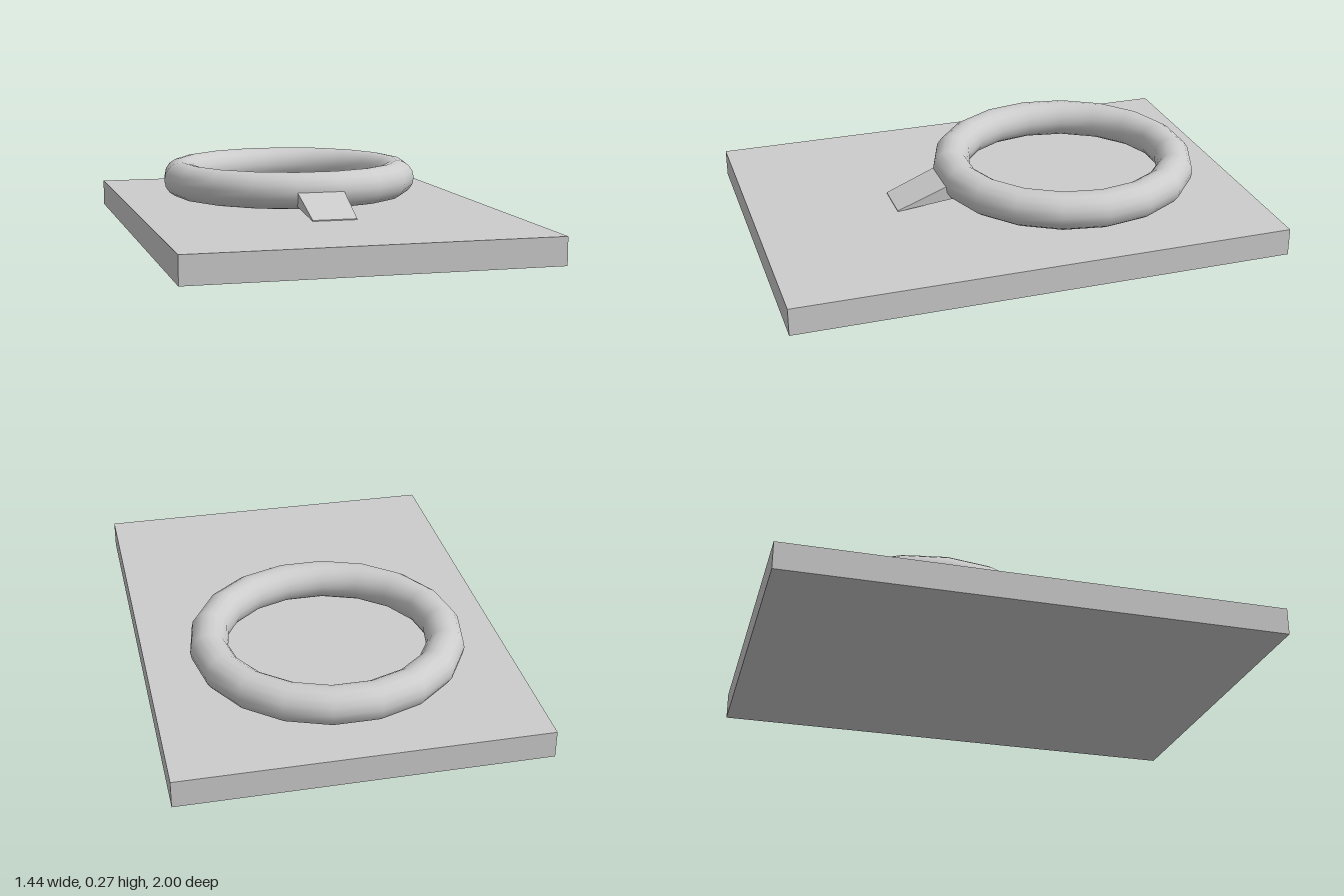
import * as THREE from 'three';

const lightGrey = new THREE.MeshStandardMaterial({ color: 0xcccccc });
lightGrey.name = 'light grey';

function addPart(group, name, geometry, x, y, z) {
  const mesh = new THREE.Mesh(geometry, lightGrey);
  mesh.name = name;
  mesh.position.set(x, y, z);
  group.add(mesh);
}

// Wedge rising from a thin front edge to a taller, slightly wider back
function wedgeGeometry() {
  const geometry = new THREE.BoxGeometry(2, 2, 2);
  const pos = geometry.attributes.position;
  for (let i = 0; i < pos.count; i++) {
    const side = pos.getX(i), top = pos.getY(i) > 0, back = pos.getZ(i) < 0;
    const halfWidth = back ? (top ? 0.098 : 0.092) : 0.09;
    const y = back ? (top ? 0.207 : 0.135) : (top ? 0.114 : 0.11);
    pos.setXYZ(i, side * halfWidth, y, back ? 0.195 : 0.43);
  }
  const flat = geometry.toNonIndexed();
  flat.computeVertexNormals();
  return flat;
}

export function createModel() {
  const model = new THREE.Group();
  model.name = 'ringOnPlate';

  // Flat rectangular plate
  addPart(model, 'basePlate', new THREE.BoxGeometry(1.436, 0.11, 2), 0, 0.055, 0);

  // Smooth ring with an 18-sided outline, hovering just over the plate
  const ring = new THREE.TorusGeometry(0.47, 0.075, 16, 18).rotateX(Math.PI / 2);
  addPart(model, 'ring', ring, 0, 0.193, -0.308);

  // Small ramp leading up to the ring
  addPart(model, 'ramp', wedgeGeometry(), 0, 0, 0);

  return model;
}
